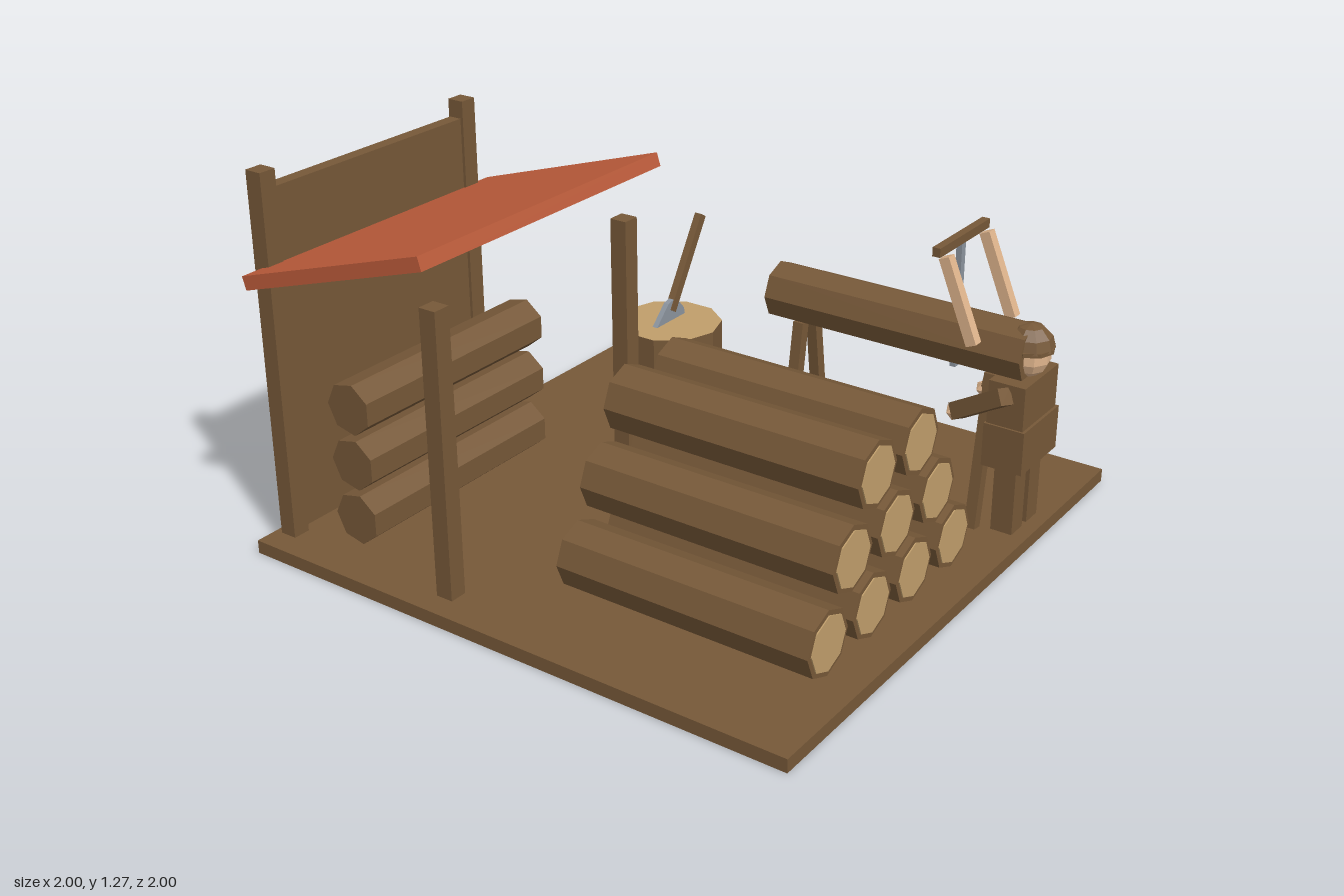
import * as THREE from 'three';

const mat = (name, color) => {
  const m = new THREE.MeshStandardMaterial({ color });
  m.name = name;
  m.flatShading = true;
  return m;
};

export function createModel() {
  const wood = mat('brown wood', 0x765838);
  const cutWood = mat('cut wood', 0xc09e6b);
  const tile = mat('red roof', 0xbd5c3b);
  const skin = mat('skin', 0xdfb48c);
  const steel = mat('steel', 0x8c949e);

  const model = new THREE.Group();
  model.name = 'woodYard';
  const group = (name) => {
    const g = new THREE.Group();
    g.name = name;
    model.add(g);
    return g;
  };
  const add = (parent, name, geo, material, x = 0, y = 0, z = 0) => {
    const m = new THREE.Mesh(geo, material);
    m.name = name;
    m.position.set(x, y, z);
    parent.add(m);
    return m;
  };
  const box = (parent, name, material, w, h, d, x, y, z) =>
    add(parent, name, new THREE.BoxGeometry(w, h, d), material, x, y, z);
  // square bar running between two points
  const beam = (parent, name, material, a, b, w, d = w) => {
    const p = new THREE.Vector3(...a), q = new THREE.Vector3(...b);
    const m = box(parent, name, material, w, p.distanceTo(q), d, 0, 0, 0);
    m.position.copy(p).add(q).multiplyScalar(0.5);
    m.quaternion.setFromUnitVectors(new THREE.Vector3(0, 1, 0), q.sub(p).normalize());
    return m;
  };

  box(model, 'ground', wood, 2, 0.045, 2, 0, 0.0225, 0);

  // open shed
  const shed = group('shed');
  for (const x of [-0.89, 0]) {
    box(shed, 'frontPost', wood, 0.06, 0.945, 0.06, x, 0.5175, -0.278);
    box(shed, 'backPost', wood, 0.06, 1.225, 0.06, x, 0.6575, -0.945);
  }
  box(shed, 'backWall', wood, 0.89, 1.15, 0.045, -0.445, 0.635, -0.948);
  box(shed, 'roof', tile, 1.11, 0.045, 0.754, -0.445, 1.055, -0.578).rotation.x = -0.302;
  for (const y of [0.16, 0.35, 0.54]) {
    const geo = new THREE.CylinderGeometry(0.087, 0.087, 0.83, 7, 1, false, Math.PI);
    geo.rotateZ(Math.PI / 2);
    add(shed, 'storedLog', geo, wood, -0.445, y, -0.688);
  }

  // log pile with pale cut ends
  const pile = group('logPile');
  [4, 3, 2].forEach((count, row) => {
    for (let i = 0; i < count; i++) {
      const x = -0.2475 + (i - (count - 1) / 2) * 0.245, y = 0.157 + row * 0.213;
      const log = new THREE.CylinderGeometry(0.108, 0.108, 0.885, 8).rotateX(Math.PI / 2);
      add(pile, 'log', log, wood, x, y, 0.4425);
      const end = new THREE.CylinderGeometry(0.091, 0.091, 0.006, 8).rotateX(Math.PI / 2);
      add(pile, 'cutEnd', end, cutWood, x, y, 0.886);
    }
  });

  // log resting on two trestles
  const trestles = group('sawhorse');
  const sawLog = new THREE.CylinderGeometry(0.098, 0.098, 0.935, 8).rotateX(Math.PI / 2);
  add(trestles, 'sawLog', sawLog, wood, 0.5, 0.647, 0.4675);
  for (const z of [0.11, 0.82])
    for (const s of [-1, 1])
      beam(trestles, 'trestleLeg', wood, [0.5 + s * 0.115, 0.047, z], [0.5 + s * 0.04, 0.565, z], 0.038);

  // saw with a steel blade and two slanted grips
  const saw = group('saw');
  box(saw, 'sawBar', wood, 0.33, 0.03, 0.027, 0.5, 0.975, 0.665);
  box(saw, 'sawBlade', steel, 0.025, 0.425, 0.02, 0.5, 0.748, 0.665);
  for (const s of [-1, 1])
    beam(saw, 'sawGrip', skin, [0.5 + s * 0.135, 0.69, 0.795], [0.5 + s * 0.135, 0.957, 0.685], 0.035, 0.037);

  // woodcutter
  const man = group('woodcutter');
  box(man, 'torso', wood, 0.235, 0.175, 0.125, 0.5, 0.49, 0.91);
  box(man, 'coatSkirt', wood, 0.25, 0.125, 0.14, 0.5, 0.345, 0.912);
  box(man, 'belt', wood, 0.25, 0.025, 0.14, 0.5, 0.418, 0.912);
  for (const s of [-1, 1]) {
    box(man, 'leg', wood, 0.075, 0.24, 0.075, 0.5 + s * 0.053, 0.165, 0.912);
    beam(man, 'arm', wood, [0.5 + s * 0.145, 0.55, 0.92], [0.5 + s * 0.105, 0.435, 0.735], 0.055);
    add(man, 'hand', new THREE.IcosahedronGeometry(0.03, 0), skin, 0.5 + s * 0.103, 0.43, 0.728);
  }
  add(man, 'head', new THREE.SphereGeometry(0.073, 9, 7), skin, 0.5, 0.643, 0.92);
  const cap = new THREE.SphereGeometry(0.08, 9, 3, 0, Math.PI * 2, 0, Math.PI / 2);
  add(man, 'cap', cap, wood, 0.5, 0.668, 0.923);
  const brim = new THREE.CylinderGeometry(0.081, 0.081, 0.014, 9);
  add(man, 'capBrim', brim, wood, 0.5, 0.668, 0.923);

  // chopping block and axe
  const block = group('choppingBlock');
  add(block, 'block', new THREE.CylinderGeometry(0.187, 0.187, 0.34, 10), [wood, cutWood, wood], 0.555, 0.215, -0.5);
  beam(block, 'axeHandle', wood, [0.565, 0.42, -0.505], [0.752, 0.73, -0.505], 0.033, 0.027);
  const blade = new THREE.Shape([
    [0.47, 0.386], [0.64, 0.386], [0.635, 0.41], [0.585, 0.465], [0.54, 0.455],
  ].map(([x, y]) => new THREE.Vector2(x, y)));
  const bladeGeo = new THREE.ExtrudeGeometry(blade, { depth: 0.02, bevelEnabled: false });
  add(block, 'axeHead', bladeGeo, steel, 0, 0, -0.515);

  // wood chips: x, z, turn
  const chips = group('woodChips');
  for (const [x, z, turn] of [
    [0.165, -0.15, 0.95], [0.278, -0.15, -0.15], [0.11, -0.06, 0], [0.22, -0.06, -1.1], [0.33, -0.06, 0.85],
  ]) box(chips, 'chip', wood, 0.064, 0.04, 0.022, x, 0.065, z).rotation.y = turn;

  return model;
}
